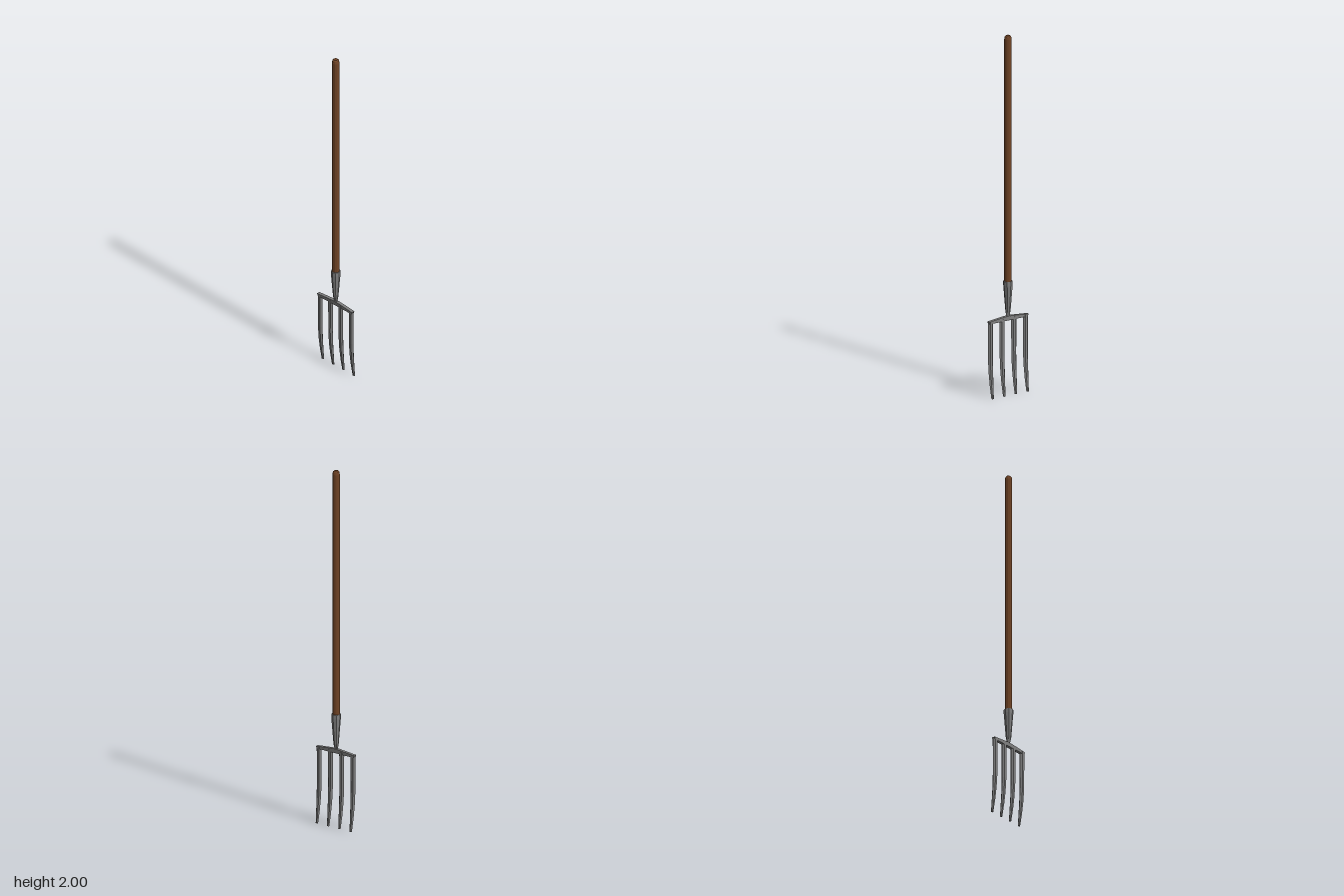
import * as THREE from 'three';

const wood = new THREE.MeshStandardMaterial({ name: 'brownWood', color: 0x6f4325, flatShading: true });
const steel = new THREE.MeshStandardMaterial({ name: 'greySteel', color: 0x808080, flatShading: true });

// Closed skin through equal-sized rings of points, with both ends capped.
// Rings run from bottom to top, each counter-clockwise seen from above.
function skin(name, rings, material) {
  const n = rings[0].length;
  const index = [];
  for (let r = 0; r < rings.length - 1; r++) {
    for (let i = 0; i < n; i++) {
      const a = r * n + i, b = r * n + (i + 1) % n;
      index.push(a, b, b + n, a, b + n, a + n);
    }
  }
  const top = (rings.length - 1) * n;
  for (let i = 1; i < n - 1; i++) index.push(0, i + 1, i, top, top + i, top + i + 1);
  const geometry = new THREE.BufferGeometry();
  geometry.setAttribute('position', new THREE.Float32BufferAttribute(rings.flat(2), 3));
  geometry.setIndex(index);
  geometry.computeVertexNormals();
  const mesh = new THREE.Mesh(geometry, material);
  mesh.name = name;
  return mesh;
}

// Elliptical ring of n points around the vertical axis
function ring(y, rx, rz, n) {
  return Array.from({ length: n }, (_, i) => {
    const a = (i / n) * Math.PI * 2;
    return [rx * Math.cos(a), y, -rz * Math.sin(a)];
  });
}

// Six-sided blade section with ridges on its left and right edges
function tineRing([y, z, w, d]) {
  return [[w, 0], [w * 0.45, -d], [-w * 0.45, -d], [-w, 0], [-w * 0.45, d], [w * 0.45, d]]
    .map(([x, dz]) => [x, y, z + dz]);
}

export function createModel() {
  const fork = new THREE.Group();
  fork.name = 'gardenFork';

  // Wooden shaft with a rounded end
  const shaft = [[0.6, 0.02], [1.98, 0.02], [1.994, 0.017], [2, 0.011]];
  fork.add(skin('handle', shaft.map(([y, r]) => ring(y, r, r, 12)), wood));

  // Tapered socket, pinched flat where it meets the crossbar
  const socket = [[0.425, 0.016, 0.005], [0.44, 0.012, 0.005], [0.465, 0.014, 0.014],
    [0.52, 0.018, 0.019], [0.61, 0.025, 0.026], [0.632, 0.025, 0.026]];
  fork.add(skin('socket', socket.map(([y, rx, rz]) => ring(y, rx, rz, 8)), steel));

  // Crossbar, slightly raised in the middle
  const bar = new THREE.Shape();
  bar.moveTo(-0.124, 0.414);
  bar.lineTo(0.124, 0.414);
  bar.lineTo(0.129, 0.427);
  bar.lineTo(0.02, 0.437);
  bar.lineTo(-0.02, 0.437);
  bar.lineTo(-0.129, 0.427);
  const barGeometry = new THREE.ExtrudeGeometry(bar, { depth: 0.018, bevelEnabled: false });
  barGeometry.translate(0, 0, -0.009);
  const crossbar = new THREE.Mesh(barGeometry, steel);
  crossbar.name = 'crossbar';
  fork.add(crossbar);

  // Four tines curving backwards to narrow tips: y, z, half width, half depth
  const sections = [[0, -0.02, 0.008, 0.005], [0.07, -0.011, 0.012, 0.0075], [0.14, -0.004, 0.0145, 0.009],
    [0.22, 0, 0.016, 0.01], [0.427, 0, 0.017, 0.01]];
  [-0.114, -0.038, 0.038, 0.114].forEach((x, i) => {
    const tine = skin('tine' + (i + 1), sections.map(tineRing), steel);
    tine.position.x = x;
    fork.add(tine);
  });

  return fork;
}
